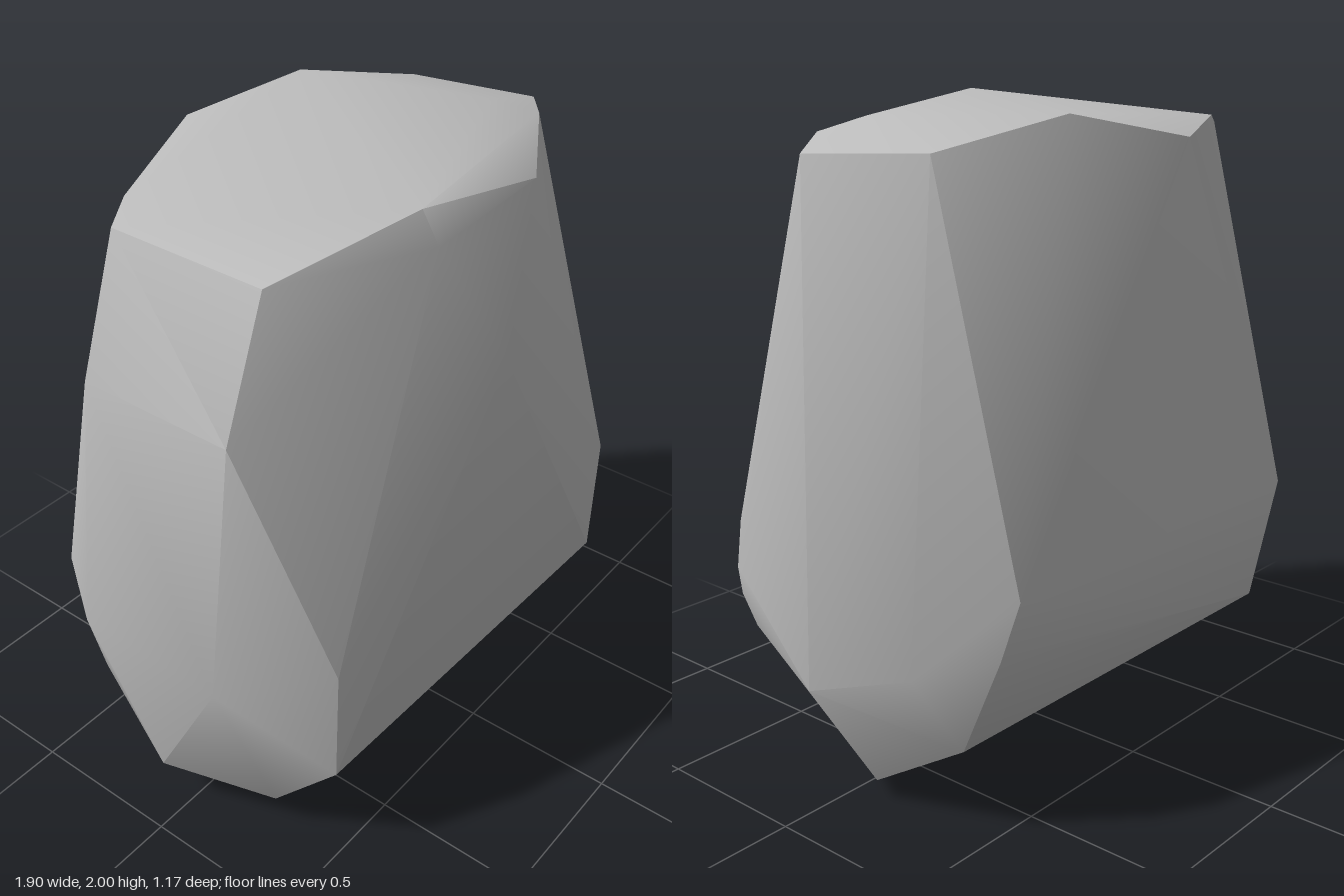
import * as THREE from 'three';
import { ConvexGeometry } from 'three/addons/geometries/ConvexGeometry.js';
import { toCreasedNormals } from 'three/addons/utils/BufferGeometryUtils.js';

const stone = new THREE.MeshStandardMaterial({ color: 0xbdbdbd });
stone.name = 'grey stone';

// Corners of the boulder, as x, y, z
const crown = [
  [-0.30, 2.00, 0.44], [0.23, 1.89, 0.45], [0.56, 1.92, 0.25], [0.74, 1.88, 0.12], [0.63, 1.895, -0.26],
  [0.47, 1.965, 0.14], [0.26, 1.985, -0.425], [-0.08, 1.91, -0.585], [-0.61, 1.93, -0.31],
  [-0.72, 1.90, -0.25], [-0.71, 1.89, 0.26], [-0.30, 1.91, 0.495],
];
const sides = [
  [-0.87, 1.50, 0.26], [-0.87, 1.50, -0.25], [-0.08, 1.50, 0.585],
  [-0.955, 0.68, 0.23], [-0.945, 0.67, -0.29], [-0.80, 0.70, -0.51], [-0.74, 0.75, 0.51],
  [0.70, 0.73, 0.51], [0.845, 0.66, 0.35], [0.77, 0.53, 0.43], [0.95, 0.43, -0.07],
  [0.84, 0.51, -0.36], [0.69, 0.57, -0.55], [0.65, 0.74, -0.585],
];
const base = [
  [-0.755, 0.375, 0.51], [0.64, 0.35, 0.53], [0.71, 0.27, -0.43], [-0.78, 0.27, -0.43],
  [-0.77, 0.12, 0.28], [-0.91, 0.17, -0.06], [0.72, 0.06, -0.09], [-0.71, 0, 0],
];

export function createModel() {
  const model = new THREE.Group();
  model.name = 'boulder';

  // One solid stone: shallow facets blend, steep ones keep a sharp edge
  const corners = [...crown, ...sides, ...base].map((p) => new THREE.Vector3(...p));
  const rock = new THREE.Mesh(toCreasedNormals(new ConvexGeometry(corners), 0.69), stone);
  rock.name = 'rock';
  model.add(rock);
  return model;
}
